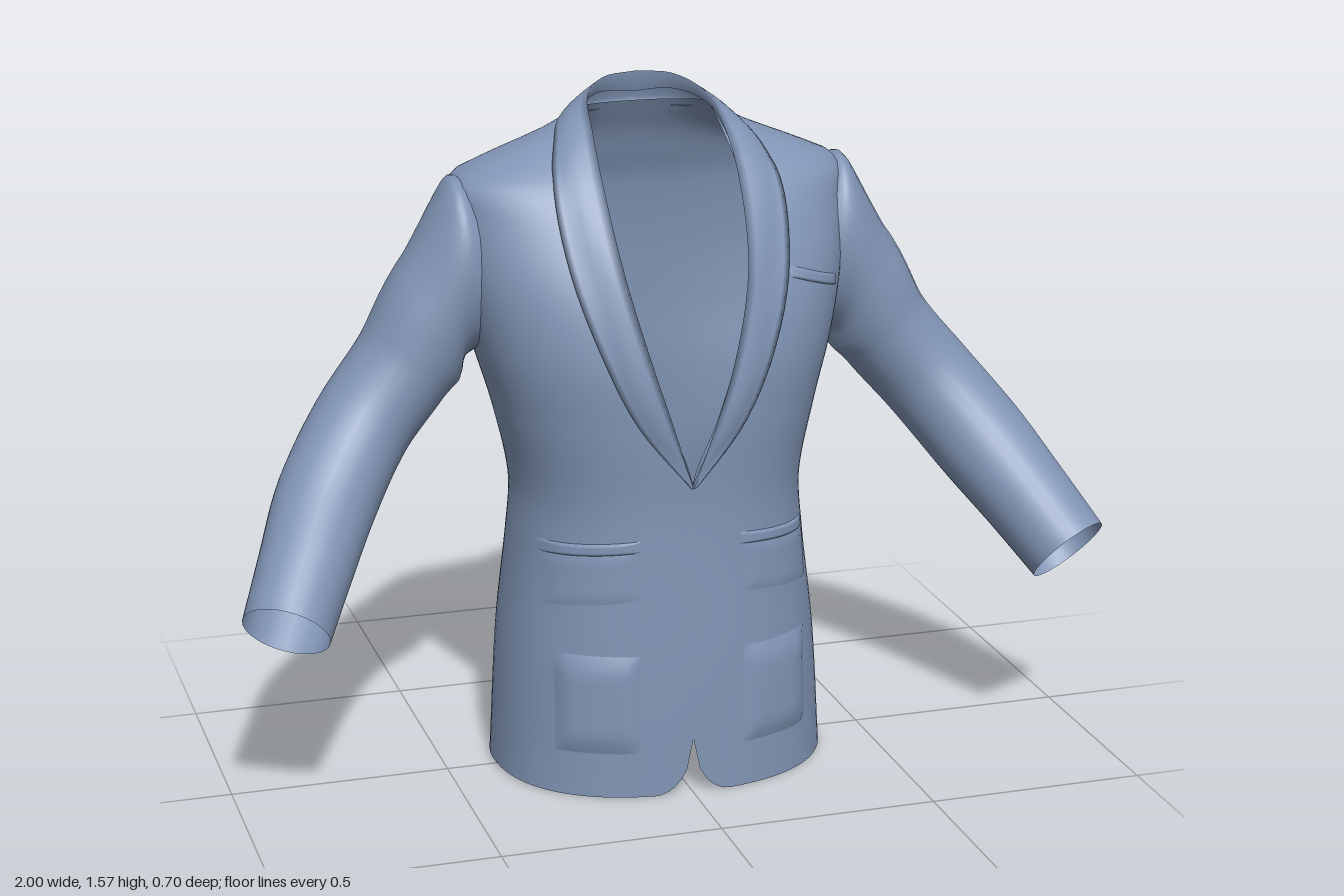
import * as THREE from 'three';

const V = (x, y, z) => new THREE.Vector3(x, y, z);
const { clamp, lerp, smoothstep } = THREE.MathUtils;

// Torso sections: height, half width, front z, back z, centre z
const ROWS = [
  [0, 0.39, 0.295, -0.352, -0.03], [0.3, 0.37, 0.29, -0.335, -0.03], [0.55, 0.34, 0.28, -0.312, -0.03],
  [0.68, 0.333, 0.278, -0.297, -0.03], [0.85, 0.368, 0.285, -0.28, -0.03], [1.0, 0.41, 0.28, -0.277, -0.04],
  [1.15, 0.44, 0.24, -0.27, -0.05], [1.3, 0.45, 0.16, -0.25, -0.07], [1.37, 0.445, 0.105, -0.226, -0.08],
  [1.41, 0.36, 0.065, -0.212, -0.09], [1.44, 0.285, 0.03, -0.198, -0.09], [1.47, 0.215, 0, -0.181, -0.09],
  [1.5, 0.165, -0.03, -0.165, -0.095],
];
// Half width of the front opening at a height
const OPENING = [[0, 0], [0.72, 0], [0.87, 0.055], [1.03, 0.108], [1.2, 0.15], [1.38, 0.165], [1.5, 0.15]];
// Squareness of the front half of each section
const FRONT = 2.3;

// Smooth lookup of a table keyed by its first column
function lookup(table, y, col) {
  let i = 0;
  while (i < table.length - 2 && y > table[i + 1][0]) i++;
  const slope = (k) => {
    const a = table[Math.max(0, k - 1)], b = table[Math.min(table.length - 1, k + 1)];
    return (b[col] - a[col]) / (b[0] - a[0]);
  };
  const p = table[i], q = table[i + 1], h = q[0] - p[0], t = clamp((y - p[0]) / h, 0, 1);
  const t2 = t * t, t3 = t2 * t;
  return (2 * t3 - 3 * t2 + 1) * p[col] + (t3 - 2 * t2 + t) * h * slope(i)
    + (3 * t2 - 2 * t3) * q[col] + (t3 - t2) * h * slope(i + 1);
}

function frontZ(x, y) {
  const [a, zf, zc] = [1, 2, 4].map((c) => lookup(ROWS, y, c));
  return zc + (zf - zc) * Math.max(0, 1 - Math.abs(x / a) ** FRONT) ** (1 / FRONT);
}

// Surface from a rule point(u, v); closed joins the u ends
function grid(nu, nv, point, closed = false) {
  const pos = [], index = [], cols = closed ? nu : nu + 1;
  for (let j = 0; j <= nv; j++)
    for (let i = 0; i < cols; i++) pos.push(...point(i / nu, j / nv).toArray());
  for (let j = 0; j < nv; j++)
    for (let i = 0; i < nu; i++) {
      const a = j * cols + i, b = j * cols + (i + 1) % cols, c = a + cols, d = b + cols;
      index.push(a, b, d, a, d, c);
    }
  const geo = new THREE.BufferGeometry();
  geo.setAttribute('position', new THREE.Float32BufferAttribute(pos, 3));
  geo.setIndex(index);
  geo.computeVertexNormals();
  return geo;
}

// Body: one sheet from the left front edge round the back to the right front edge
function torsoPoint(u, v) {
  const s = u - 0.1 * Math.sin(2 * Math.PI * u);
  // Hem rises at the back and is cut away in a curve beside the front edges
  const base = 2 * Math.PI * s, bx = 0.39 * Math.abs(Math.sin(base)) ** (2 / FRONT), r = 0.09;
  let hem = 0.01 * (1 - Math.cos(base)) ** 2;
  if (Math.cos(base) > 0 && bx < r) hem += 0.13 * (1 - Math.sqrt(1 - (1 - bx / r) ** 2));
  const y = lerp(hem, 1.5, v);
  const [a, zf, zb, zc] = [1, 2, 3, 4].map((c) => lookup(ROWS, y, c));
  const open = y > 0.72 ? Math.max(0, lookup(OPENING, y, 1)) : 0;
  const start = Math.asin(clamp(open / a, 0, 1) ** (FRONT / 2));
  const th = start + (2 * Math.PI - 2 * start) * s, sn = Math.sin(th), cs = Math.cos(th);
  const back = 1.7 + 0.3 * smoothstep(y, 0, 0.5) + 0.8 * smoothstep(y, 0.6, 1.2) - 0.6 * smoothstep(y, 1.35, 1.47);
  const n = cs > 0 ? FRONT : back;
  return V(a * Math.sign(sn) * Math.abs(sn) ** (2 / n), y,
    zc + (cs > 0 ? zf - zc : zb - zc) * Math.abs(cs) ** (2 / n));
}

// Shawl collar: fold edge and outer edge from the V point to the back of the neck
const curve = (pts) => new THREE.CatmullRomCurve3(pts.map((p) => V(...p)));
const fold = curve([[0, 0.72, 0.285], [0.05, 0.87, 0.3], [0.1, 1.03, 0.287], [0.14, 1.2, 0.235],
  [0.155, 1.38, 0.115], [0.15, 1.475, 0.02], [0.135, 1.533, -0.07], [0.08, 1.563, -0.135], [0, 1.57, -0.15]]);
const rim = curve([[0.005, 0.72, 0.285], [0.125, 0.87, 0.28], [0.2, 1.03, 0.245], [0.25, 1.2, 0.165],
  [0.26, 1.36, 0.085], [0.225, 1.455, -0.025], [0.185, 1.477, -0.13], [0.1, 1.484, -0.185], [0, 1.487, -0.197]]);

function collarPoint(u, v) {
  const side = u < 0.5 ? 1 : -1, t = 1 - Math.abs(1 - 2 * u);
  const inner = fold.getPoint(t), outer = rim.getPoint(t), grow = Math.min(1, t * 6);
  const k = Math.round(v * 8);
  let p;
  if (k === 0) {
    // Facing turned in behind the fold
    p = inner.clone().add(V(0.03 * (1 - t) * grow, -0.05 * t * t, -0.018));
  } else if (k === 8) {
    // Outer edge turned under
    p = outer.clone().add(V(-0.015 * grow, 0, t > 0.8 ? 0.02 : -0.02));
  } else {
    const w = (k - 1) / 6;
    p = inner.lerp(outer, w);
    const out = V(p.x, 0.06, p.z + 0.06).normalize();
    p.addScaledVector(out, 0.012 * grow * Math.sin(Math.PI * w));
    if (p.y < 1.4) p.z = Math.max(p.z, frontZ(p.x, p.y) + 0.01);
  }
  p.x *= side;
  return p;
}

// Sleeve rings: centre, half height, half depth
const SLEEVE = [
  [0.37, 1.17, -0.06, 0.15, 0.11], [0.435, 1.18, -0.06, 0.2, 0.13], [0.5, 1.068, -0.062, 0.153, 0.13],
  [0.57, 0.955, -0.062, 0.116, 0.126], [0.67, 0.835, -0.035, 0.113, 0.12], [0.767, 0.705, 0.05, 0.114, 0.115],
  [0.845, 0.585, 0.17, 0.105, 0.106], [0.91, 0.48, 0.272, 0.098, 0.098],
];
function sleeveGeometry(side) {
  const path = curve(SLEEVE.map((r) => r.slice(0, 3)));
  const size = curve(SLEEVE.map((r) => [r[3], r[4], 0]));
  return grid(28, 42, (u, v) => {
    const c = path.getPoint(v), r = size.getPoint(v), th = -side * u * 2 * Math.PI;
    const t = V(1, -0.1, 0).lerp(path.getTangent(v), smoothstep(v, 0.16, 0.5)).normalize();
    const w = V(0, 0, 1).addScaledVector(t, -t.z).normalize();
    const up = w.clone().cross(t).normalize();
    c.addScaledVector(up, r.x * Math.cos(th)).addScaledVector(w, r.y * Math.sin(th));
    c.x *= side;
    return c;
  }, true);
}

// Raised patch lying on the front; drop slants it downward toward +x
function patch(x0, x1, y0, y1, lift, drop = 0) {
  return grid(14, 10, (u, v) => {
    const x = lerp(x0, x1, u), y = lerp(y0, y1, v) - drop * u;
    const edge = Math.min(1, Math.min(u, 1 - u, v, 1 - v) / 0.2);
    const rise = 0.001 + lift * Math.sin(edge * Math.PI / 2);
    return V(x + Math.sign(x) * rise * 0.6, y, frontZ(x, y) + rise);
  });
}

export function createModel() {
  const model = new THREE.Group();
  model.name = 'jacket';
  const cloth = new THREE.MeshStandardMaterial({ color: 0x8094b4, side: THREE.DoubleSide });
  const add = (name, geo) => {
    const mesh = new THREE.Mesh(geo, cloth);
    mesh.name = name;
    model.add(mesh);
  };

  add('body', grid(96, 75, torsoPoint));
  add('shawlCollar', grid(80, 8, collarPoint));

  for (const [label, s] of [['left', 1], ['right', -1]]) {
    add(label + 'Sleeve', sleeveGeometry(s));
    // Mirrored patch, slanting down toward the side seam
    const pocket = (x0, x1, y0, y1, lift, drop) => (s > 0
      ? patch(x0, x1, y0, y1, lift, drop) : patch(-x1, -x0, y0 - drop, y1 - drop, lift, -drop));
    add(label + 'PatchPocket', pocket(0.12, 0.295, 0.105, 0.335, 0.01, 0));
    add(label + 'PocketFlap', pocket(0.12, 0.31, 0.465, 0.58, 0.003, 0.025));
    add(label + 'PocketWelt', pocket(0.115, 0.31, 0.575, 0.602, 0.005, 0.02));
  }
  add('breastPocketWelt', patch(0.25, 0.39, 1.16, 1.185, 0.004, 0.05));
  return model;
}
